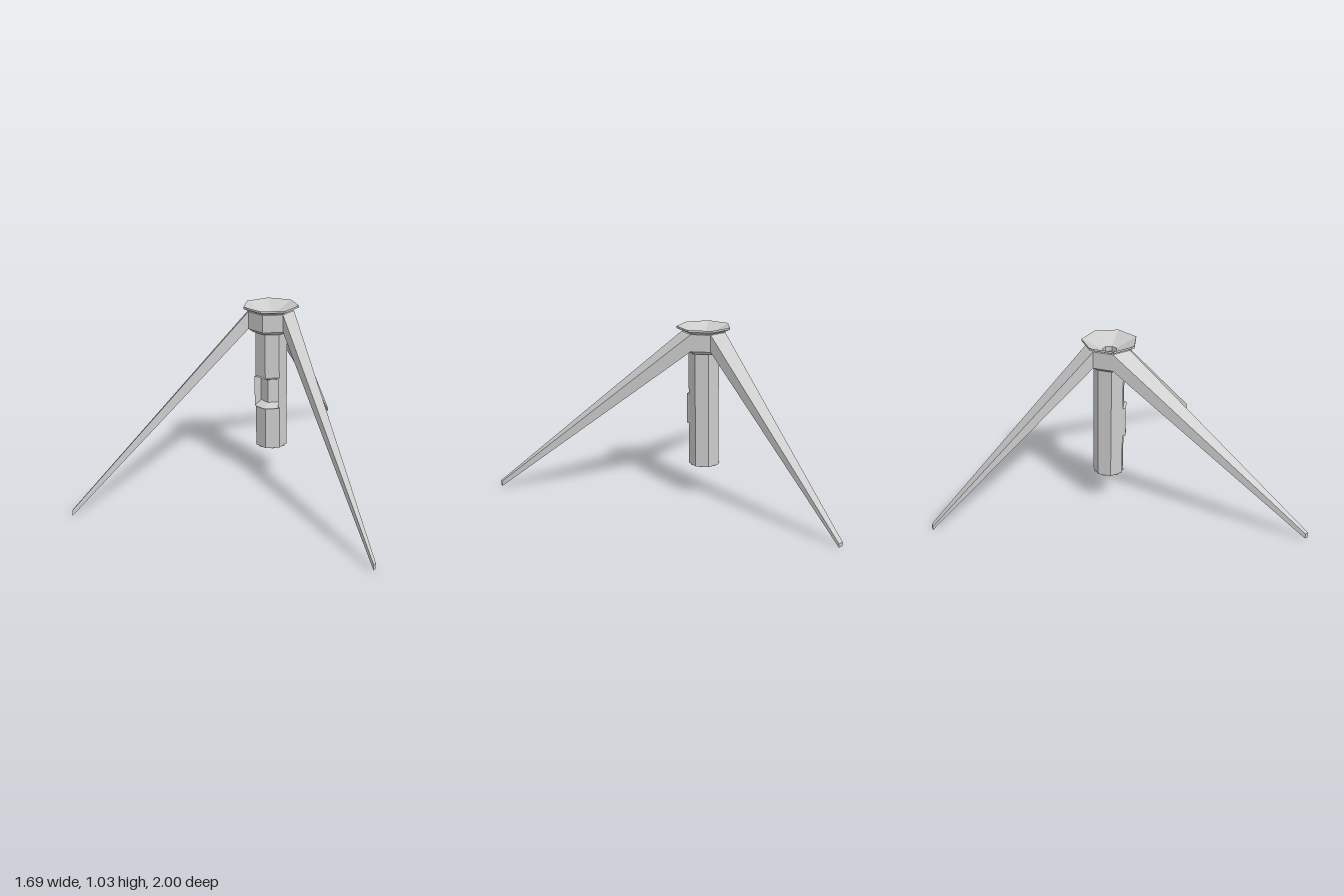
import * as THREE from 'three';

const SIDES = 7;
const STEP = (Math.PI * 2) / SIDES;
const CX = -0.033, CZ = 0.085; // axis of the column
const BODY_R = 0.092, HUB_R = 0.132;
const material = new THREE.MeshStandardMaterial({ color: 0xcccccc, flatShading: true, side: THREE.DoubleSide });

// Point on the seven-sided plan: corner 0 points to +z, corners count towards +x.
const corner = (i, r, y) => [CX + r * Math.sin(i * STEP), y, CZ + r * Math.cos(i * STEP)];

// Skin a list of rings (counter-clockwise seen from the last one) and cap the last ring.
function loft(rings) {
  const pos = [];
  const n = rings[0].length;
  for (let k = 0; k < rings.length - 1; k++) {
    const p = rings[k], q = rings[k + 1];
    for (let j = 0; j < n; j++) {
      const m = (j + 1) % n;
      pos.push(...p[j], ...p[m], ...q[m], ...p[j], ...q[m], ...q[j]);
    }
  }
  const cap = rings[rings.length - 1];
  for (let j = 1; j < n - 1; j++) pos.push(...cap[0], ...cap[j], ...cap[j + 1]);
  const g = new THREE.BufferGeometry();
  g.setAttribute('position', new THREE.Float32BufferAttribute(pos, 3));
  g.computeVertexNormals();
  return g;
}

function lathe(profile) {
  const g = new THREE.LatheGeometry(profile.map(([r, y]) => new THREE.Vector2(r, y)), SIDES);
  return g.translate(CX, 0, CZ);
}

// Straight band of the column, starting at a corner and spanning some of the sides.
function band(y0, y1, first = 0, count = SIDES) {
  const g = new THREE.CylinderGeometry(BODY_R, BODY_R, y1 - y0, count, 1, true, first * STEP, count * STEP);
  return g.translate(CX, (y0 + y1) / 2, CZ);
}

export function createModel() {
  const model = new THREE.Group();
  const add = (name, geometry, parent = model) => {
    const mesh = new THREE.Mesh(geometry, material);
    mesh.name = name;
    parent.add(mesh);
  };

  // Column, left open at the front where the window sits
  const column = new THREE.Group();
  column.name = 'column';
  model.add(column);
  const winLow = 0.44, winHigh = 0.62;
  add('lowerColumn', band(0.19, winLow), column);
  add('middleColumn', band(winLow, winHigh, 1, SIDES - 2), column);
  add('upperColumn', band(winHigh, 0.89), column);
  const base = new THREE.CircleGeometry(BODY_R, SIDES, -Math.PI / 2).rotateX(Math.PI / 2);
  add('columnBase', base.translate(CX, 0.19, CZ), column);

  // Raised window frame sloping in to a recessed panel
  const halfW = BODY_R * Math.sin(STEP);
  const sideZ = CZ + BODY_R * Math.cos(STEP), midZ = CZ + BODY_R;
  const windowRing = (w, lo, hi, dz) => [
    [CX, lo, midZ + dz], [CX + w, lo, sideZ + dz], [CX + w, hi, sideZ + dz],
    [CX, hi, midZ + dz], [CX - w, hi, sideZ + dz], [CX - w, lo, sideZ + dz],
  ];
  add('windowFrame', loft([
    windowRing(halfW, winLow, winHigh, 0),
    windowRing(halfW, winLow, winHigh, 0.018),
    windowRing(0.055, winLow + 0.02, winHigh - 0.022, -0.04),
  ]));

  // Hub that the legs grow from
  add('hub', lathe([[BODY_R, 0.88], [0.105, 0.88], [HUB_R, 0.9], [HUB_R, 1.0], [0.11, 1.0]]));

  // Dished top plate with a small socket in the middle
  add('topPlate', lathe([
    [0.12, 1.0], [0.16, 1.018], [0.16, 1.03], [0.042, 0.975], [0.042, 0.945], [0, 0.945],
  ]));

  // Legs: each tapers from one hub face to a small foot [x, z] at either corner
  const leg = (name, c0, foot0, foot1, y0, y1) => add(name, loft([
    [corner(c0, HUB_R, 0.9), corner(c0 + 1, HUB_R, 0.9), corner(c0 + 1, HUB_R, 1), corner(c0, HUB_R, 1)],
    [[foot0, y0], [foot1, y0], [foot1, y1], [foot0, y1]].map(([[x, z], y]) => [x, y, z]),
  ]));
  leg('leftLeg', 1, [0.838, 1.0], [0.843, 0.98], 0.007, 0.038);
  leg('rightLeg', -2, [-0.843, 0.98], [-0.838, 1.0], 0.007, 0.038);
  leg('rearLeg', 3, [-0.018, -1], [-0.048, -1], 0, 0.022);

  return model;
}
